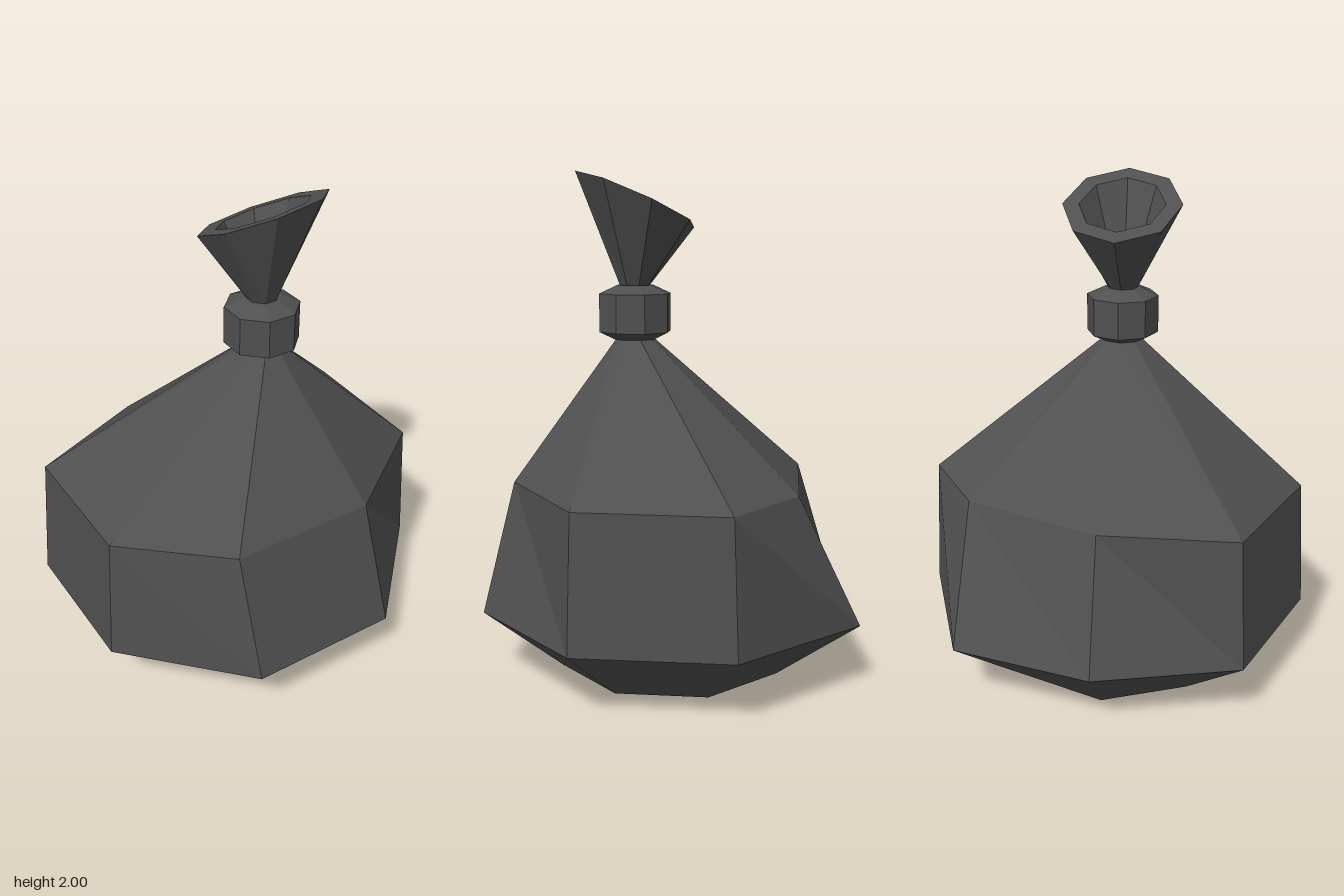
import * as THREE from 'three';

const SIDES = 8;
const NECK = { x: 0.06, z: 0.155 };

// Regular octagon ring around the neck axis; tilted rings follow a sloping plane.
function octagon(r, y, { x, z } = NECK, slopeX = 0, slopeZ = 0) {
  return Array.from({ length: SIDES }, (_, i) => {
    const a = THREE.MathUtils.degToRad(200.8 + i * 45);
    const dx = r * Math.cos(a), dz = r * Math.sin(a);
    return new THREE.Vector3(x + dx, y + dx * slopeX + dz * slopeZ, z + dz);
  });
}

// Hand-shaped ring from [x, z] pairs at one height.
const ring = (y, pairs) => pairs.map(([x, z]) => new THREE.Vector3(x, y, z));

// Skin a stack of rings with flat facets.
function loft(rings) {
  const pos = [];
  const tri = (a, b, c) => {
    const area = b.clone().sub(a).cross(c.clone().sub(a)).length();
    if (area > 1e-7) for (const p of [a, b, c]) pos.push(p.x, p.y, p.z);
  };
  for (let k = 0; k < rings.length - 1; k++) {
    const lo = rings[k], hi = rings[k + 1];
    for (let i = 0; i < SIDES; i++) {
      const j = (i + 1) % SIDES;
      tri(lo[i], hi[i], hi[j]);
      tri(lo[i], hi[j], lo[j]);
    }
  }
  const g = new THREE.BufferGeometry();
  g.setAttribute('position', new THREE.Float32BufferAttribute(pos, 3));
  g.computeVertexNormals();
  return g;
}

export function createModel() {
  const group = new THREE.Group();
  group.name = 'tiedSack';
  const cloth = new THREE.MeshStandardMaterial({ name: 'dark grey plastic', color: 0x505050, flatShading: true });

  const add = (name, rings) => {
    const mesh = new THREE.Mesh(loft(rings), cloth);
    mesh.name = name;
    group.add(mesh);
  };

  // Lopsided sack body: flat base, bulging belly, shoulder, gathered neck
  add('sackBody', [
    octagon(0, 0, { x: 0, z: 0.01 }),
    octagon(0.475, 0, { x: 0, z: 0.01 }),
    ring(0.26, [[-0.75, -0.28], [-0.29, -0.655], [0.28, -0.76], [0.725, -0.32],
      [0.745, 0.295], [0.325, 0.735], [-0.29, 0.755], [-0.73, 0.33]]),
    ring(0.79, [[-0.715, -0.265], [-0.225, -0.5], [0.365, -0.515], [0.705, -0.3],
      [0.71, 0.285], [0.27, 0.61], [-0.32, 0.63], [-0.7, 0.32]]),
    octagon(0.08, 1.345),
    octagon(0.06, 1.4),
  ]);

  // Knotted band around the neck
  add('neckBand', [
    octagon(0.05, 1.345),
    octagon(0.085, 1.345),
    octagon(0.147, 1.375),
    octagon(0.147, 1.527),
    octagon(0.075, 1.56),
    octagon(0.04, 1.56),
  ]);

  // Flared, tilted opening with a thick lip and hollow inside
  const mouth = { x: 0.06, z: 0.15 };
  add('flaredMouth', [
    octagon(0.06, 1.5),
    octagon(0.062, 1.56),
    octagon(0.241, 1.893, mouth, 0.17, 0.41),
    octagon(0.174, 1.893, mouth, 0.17, 0.41),
    octagon(0.048, 1.6),
    octagon(0, 1.6),
  ]);

  return group;
}
